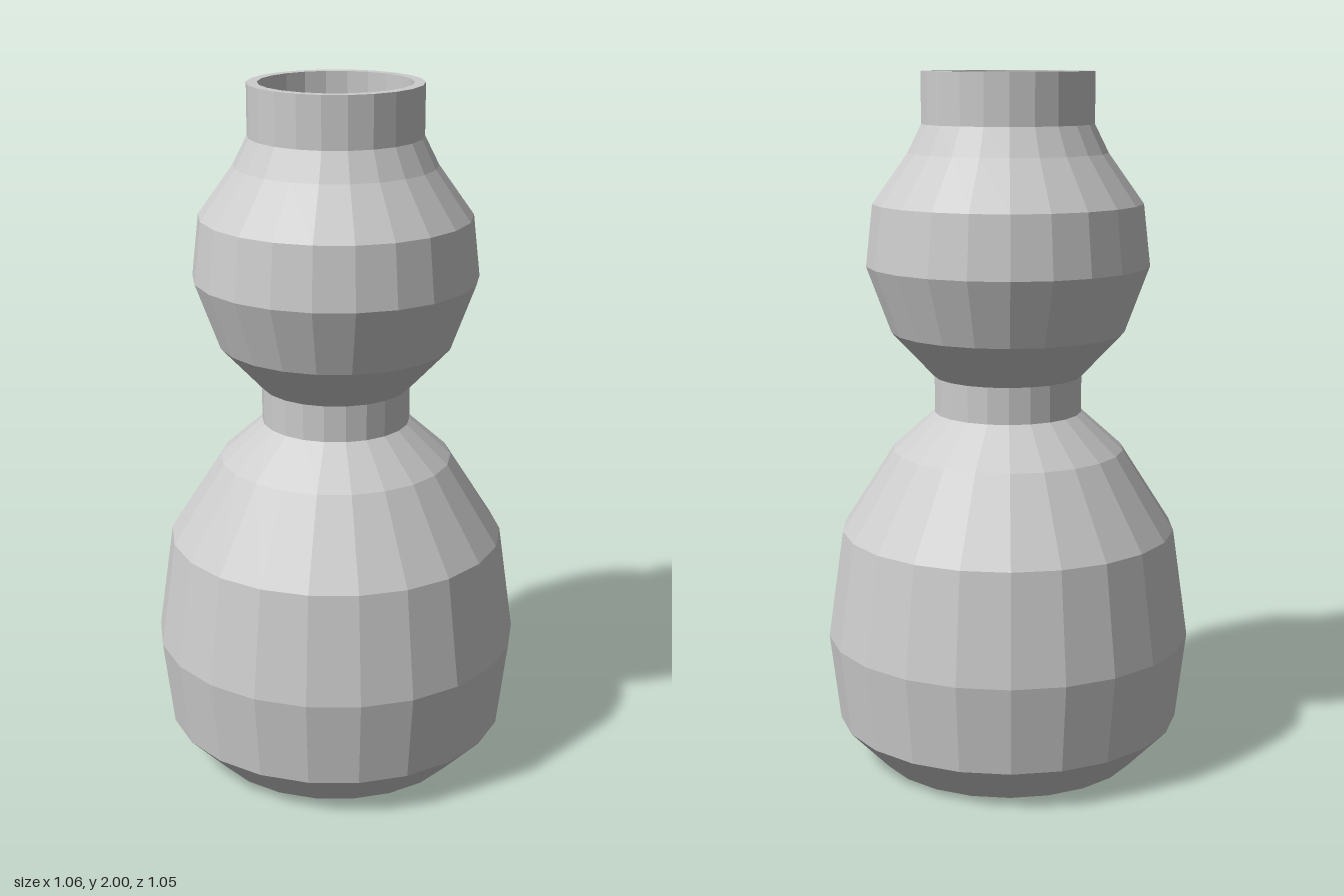
import * as THREE from 'three';

const SIDES = 22;

export function createModel() {
  const clay = new THREE.MeshStandardMaterial({ color: 0xcccccc, flatShading: true });
  clay.name = 'plain grey';
  const group = new THREE.Group();
  group.name = 'gourdVase';

  // Revolve a profile of [radius, height] pairs, with a corner on the x axis
  const turn = (name, profile) => {
    const points = profile.map(([r, y]) => new THREE.Vector2(r, y));
    const mesh = new THREE.Mesh(new THREE.LatheGeometry(points, SIDES, Math.PI / 2), clay);
    mesh.name = name;
    group.add(mesh);
  };

  const lowerBulb = [[0.385, 0], [0.5, 0.12], [0.53, 0.375], [0.485, 0.69], [0.335, 0.925], [0.213, 1.035]];
  const waist = [[0.213, 1.035], [0.213, 1.14]];
  const upperBulb = [[0.213, 1.14], [0.335, 1.27], [0.405, 1.46], [0.385, 1.635], [0.285, 1.775], [0.245, 1.855]];
  const neck = [[0.245, 1.855], [0.245, 2]];

  // Outside, from the foot to the mouth
  turn('base', [[0, 0], [0.385, 0]]);
  turn('lowerBulb', lowerBulb);
  turn('waist', waist);
  turn('upperBulb', upperBulb);
  turn('neck', neck);

  // Flat lip around the open mouth
  const wall = 0.03;
  turn('rim', [[0.245, 2], [0.245 - wall, 2]]);

  // Hollow inside follows the outside down to a flat floor
  const inner = [...lowerBulb.slice(1), waist[1], ...upperBulb.slice(1), neck[1]]
    .map(([r, y]) => [r - wall, y]).reverse();
  turn('innerWall', [...inner, [0.37, 0.03]]);
  turn('innerFloor', [[0.37, 0.03], [0, 0.03]]);

  return group;
}
